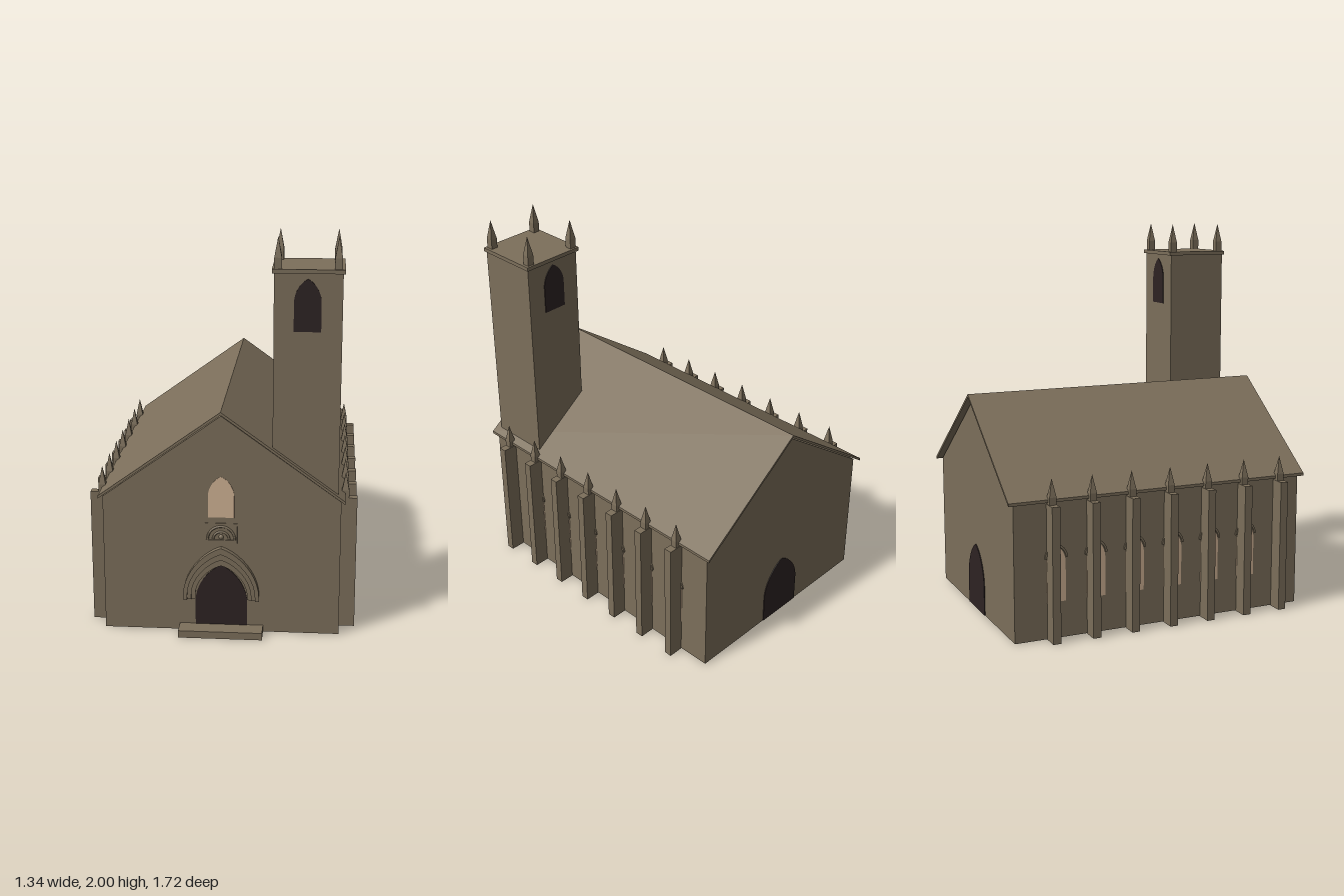
import * as THREE from 'three';

const mat = (name, color) => {
  const m = new THREE.MeshStandardMaterial({ color });
  m.name = name;
  return m;
};

export function createModel() {
  const stone = mat('stone', 0x7c6f5b);
  const glass = mat('warm glass', 0xd0b294);
  const dark = mat('dark opening', 0x2d2323);
  const model = new THREE.Group();
  model.name = 'church';

  const add = (name, geo, material = stone, x = 0, y = 0, z = 0, ry = 0, parent = model) => {
    const m = new THREE.Mesh(geo, material);
    m.name = name;
    m.position.set(x, y, z);
    m.rotation.y = ry;
    parent.add(m);
    return m;
  };
  // Box given by its lower and upper limits on each axis
  const box = (name, x0, x1, y0, y1, z0, z1, parent = model) =>
    add(name, new THREE.BoxGeometry(x1 - x0, y1 - y0, z1 - z0), stone,
      (x0 + x1) / 2, (y0 + y1) / 2, (z0 + z1) / 2, 0, parent);
  const extrude = (pts, depth) => new THREE.ExtrudeGeometry(
    new THREE.Shape(pts.map(p => new THREE.Vector2(p[0], p[1]))), { depth, bevelEnabled: false });

  // Pointed arch outline, running from bottom right over the apex to bottom left
  const arch = (hw, bottom, spring, apex) => {
    const h = apex - spring;
    const curve = new THREE.CubicBezierCurve(
      new THREE.Vector2(hw, spring), new THREE.Vector2(hw, spring + 0.45 * h),
      new THREE.Vector2(hw * 0.5, apex - 0.12 * h), new THREE.Vector2(0, apex));
    const right = curve.getPoints(10).map(p => [p.x, p.y]);
    const left = right.slice(0, -1).reverse().map(p => [-p[0], p[1]]);
    return [[hw, bottom], ...right, ...left, [-hw, bottom]];
  };
  const archBand = (outer, inner, depth) => extrude([...outer, ...inner.slice().reverse()], depth);

  // Nave with gabled ends
  add('nave', extrude([[-0.59, 0.003], [0.59, 0.003], [0.59, 0.705], [0, 1.13], [-0.59, 0.705]], 1.595),
    stone, 0, 0, -0.83);
  box('floor', -0.55, 0.55, 0, 0.004, -0.8, 0.73);

  // Thin roof resting just above the gables
  add('roof', extrude([[-0.61, 0.7], [0, 1.141], [0.61, 0.7], [0.61, 0.715], [0, 1.156], [-0.61, 0.715]], 1.65),
    stone, 0, 0, -0.86);

  // Pinnacle: square post with a four-sided spire
  const pinnacle = (x, y, z, post, spire, parent) => {
    const g = new THREE.Group();
    g.name = 'pinnacle';
    g.position.set(x, y, z);
    box('pinnaclePost', -0.018, 0.018, 0, post, -0.018, 0.018, g);
    const cone = new THREE.ConeGeometry(0.018 * Math.SQRT2, spire, 4, 1).toNonIndexed();
    cone.rotateY(Math.PI / 4);
    cone.computeVertexNormals();
    add('pinnacleSpire', cone, stone, 0, post + spire / 2, 0, 0, g);
    parent.add(g);
  };

  // Tower with cornice, corner pinnacles and belfry openings
  const tower = new THREE.Group();
  tower.name = 'tower';
  model.add(tower);
  box('towerShaft', 0.25, 0.575, 0.01, 1.828, 0.43, 0.755, tower);
  box('towerCornice', 0.24, 0.585, 1.828, 1.848, 0.418, 0.763, tower);
  for (const x of [0.268, 0.552])
    for (const z of [0.447, 0.733]) pinnacle(x, 1.848, z, 0.052, 0.1, tower);
  const belfry = extrude(arch(0.065, 1.55, 1.69, 1.802), 0.005);
  add('frontBelfryOpening', belfry, dark, 0.41, 0, 0.754, 0, tower);
  add('backBelfryOpening', belfry, dark, 0.41, 0, 0.431, Math.PI, tower);

  // Buttresses with pinnacles, and side windows with hood moulds
  const windowGeo = extrude(arch(0.05, 0.19, 0.39, 0.475), 0.005);
  const hoodGeo = archBand(arch(0.06, 0.415, 0.416, 0.49), arch(0.05, 0.415, 0.416, 0.475), 0.01);
  for (const s of [1, -1]) {
    for (let i = 0; i < 7; i++) {
      const z = 0.638 - i * 0.2127;
      box('buttress', Math.min(s * 0.58, s * 0.67), Math.max(s * 0.58, s * 0.67), 0, 0.69, z - 0.021, z + 0.021);
      pinnacle(s * 0.611, 0.69, z, 0.038, 0.092, model);
      if (i > 0) {
        add('sideWindow', windowGeo, glass, s * 0.588, 0, z + 0.027, s * Math.PI / 2);
        add('sideWindowHood', hoodGeo, stone, s * 0.588, 0, z + 0.027, s * Math.PI / 2);
      }
    }
  }

  // Doors, front window and step
  const doorGeo = extrude(arch(0.13, 0.004, 0.16, 0.356), 0.006);
  add('frontDoor', doorGeo, dark, 0, 0, 0.763);
  add('backDoor', doorGeo, dark, 0, 0, -0.828, Math.PI);
  add('frontWindow', extrude(arch(0.065, 0.61, 0.72, 0.822), 0.005), glass, 0, 0, 0.763);
  box('step', -0.21, 0.21, 0, 0.037, 0.76, 0.86);

  // Portal of stepped arches, deepest at the outside
  for (let i = 0; i < 3; i++) {
    const outer = arch(0.19 - i * 0.02, 0.177, 0.2, 0.457 - i * 0.033);
    const inner = arch(0.17 - i * 0.02, 0.177, 0.2, 0.424 - i * 0.033);
    add('portalArch', archBand(outer, inner, 0.034 - i * 0.009), stone, 0, 0, 0.762);
  }

  // Carved panel above the portal
  box('carvedPanel', -0.08, 0.08, 0.475, 0.58, 0.76, 0.769);
  for (const r of [0.068, 0.04]) {
    add('carvedArc', new THREE.TorusGeometry(r, 0.006, 6, 16, Math.PI), stone, 0, 0.495, 0.769);
  }
  box('carvedSill', -0.075, 0.075, 0.482, 0.494, 0.765, 0.775);
  add('carvedBoss', new THREE.SphereGeometry(0.014, 10, 8), stone, 0, 0.508, 0.765);

  return model;
}
